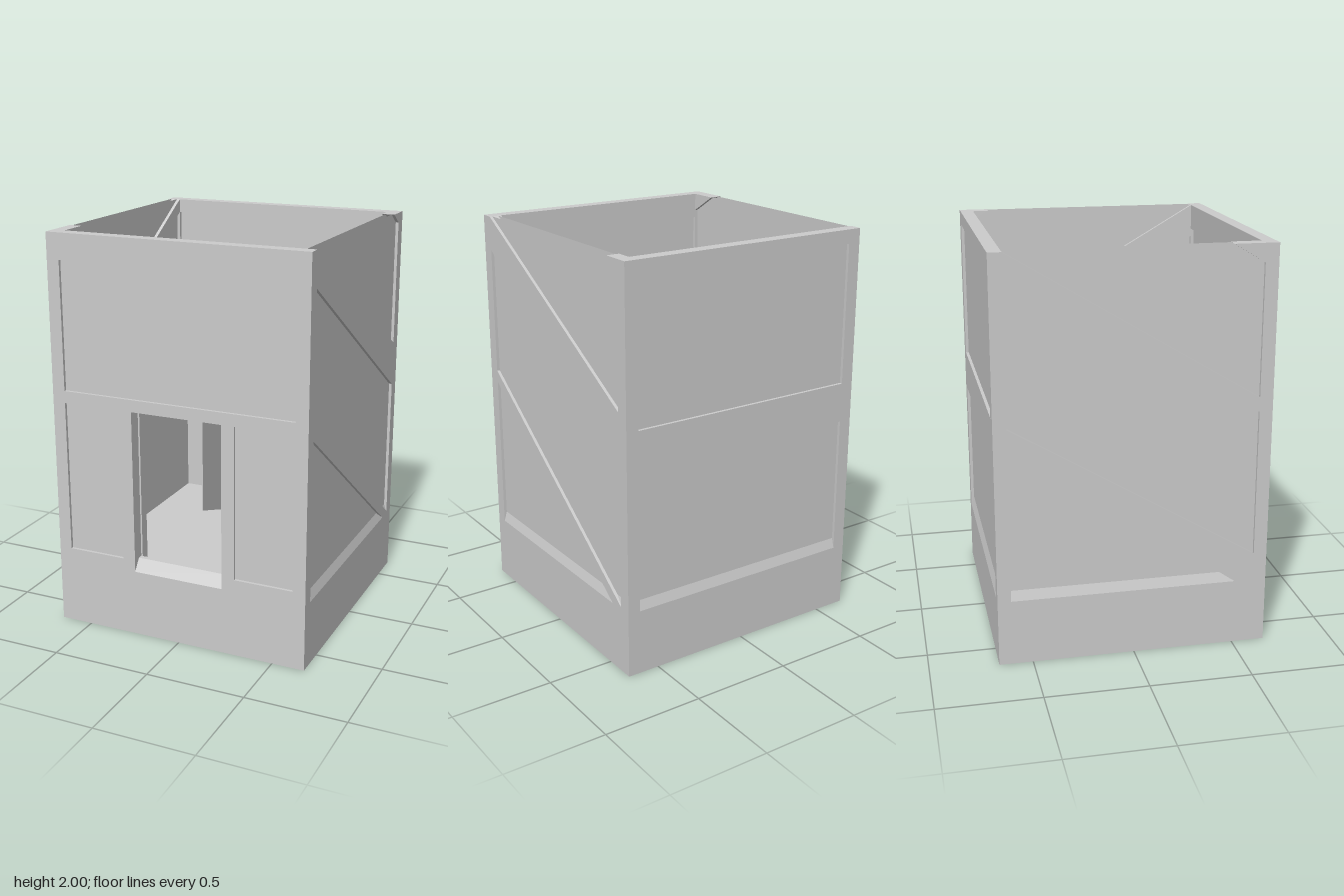
import * as THREE from 'three';

// Distances of the skins from the centre, and the main levels
const OUT = 0.665, IN = 0.6, PANEL_OUT = 0.65, PANEL_IN = 0.617;
const LINER_OUT = 0.585, LINER_IN = 0.535;
const BASE = 0.3, FLOOR = 0.34, CEILING = 1.49;

const grey = new THREE.MeshStandardMaterial({ color: 0xcccccc, side: THREE.DoubleSide });
grey.name = 'plain grey';

function add(parent, name, geometry) {
  const mesh = new THREE.Mesh(geometry, grey);
  mesh.name = name;
  parent.add(mesh);
  return mesh;
}

const points = list => list.map(([x, y]) => new THREE.Vector2(x, y));
const rect = (x0, x1, y0, y1) => [[x0, y0], [x1, y0], [x1, y1], [x0, y1]];

// Solid wall piece between two distances from the centre
function slab(parent, name, outline, holes = [], near = IN, far = OUT) {
  const shape = new THREE.Shape(points(outline));
  for (const h of holes) shape.holes.push(new THREE.Path(points(h)));
  const g = new THREE.ExtrudeGeometry(shape, { depth: far - near, bevelEnabled: false });
  return add(parent, name, g.translate(0, 0, near));
}

function sheet(parent, name, outline, z) {
  const g = new THREE.ShapeGeometry(new THREE.Shape(points(outline)));
  return add(parent, name, g.translate(0, 0, z));
}

// Panel with an outer and an inner skin, both set back in the frame
function panel(parent, outline) {
  sheet(parent, 'recessedPanel', outline, PANEL_OUT);
  sheet(parent, 'innerPanel', outline, PANEL_IN);
}

// Sill that slopes down to the outside face
function sill(parent, halfWidth, low, high, crest) {
  const profile = new THREE.Shape(points([[-OUT, low], [-IN, low], [-IN, high], [-crest, high]]));
  const g = new THREE.ExtrudeGeometry(profile, { depth: 2 * halfWidth, bevelEnabled: false });
  g.translate(0, 0, -halfWidth).rotateY(Math.PI / 2);
  return add(parent, 'slopingSill', g);
}

// Wall group with its hollow plinth and the smooth lining of the lower room
function wall(parent, name, angle, liningHoles = []) {
  const group = new THREE.Group();
  group.name = name;
  group.rotation.y = angle;
  parent.add(group);
  sheet(group, 'plinth', rect(-OUT, OUT, 0, BASE), OUT);
  slab(group, 'roomLining', rect(-LINER_OUT, LINER_OUT, BASE, CEILING), liningHoles, LINER_IN, LINER_OUT);
  return group;
}

// Side wall: two diagonal bands and a corner brace over one panel
function sideWall(parent, name, angle, lowerBand, upperBand, brace) {
  const w = wall(parent, name, angle);
  slab(w, 'bottomRail', rect(-IN, IN, BASE, 0.33));
  sill(w, IN, 0.33, 0.38, PANEL_OUT);
  slab(w, 'lowerDiagonalBand', lowerBand);
  slab(w, 'upperDiagonalBand', upperBand);
  slab(w, 'cornerBrace', brace);
  panel(w, rect(-IN, IN, 0.33, 2));
}

export function createModel() {
  const model = new THREE.Group();
  model.name = 'stairTower';

  // Front wall with doorway
  const door = rect(-0.235, 0.235, FLOOR, 1.17);
  const front = wall(model, 'frontWall', 0, [door]);
  const frontPanels = [
    rect(-IN, IN, 1.23, 1.87),
    rect(-IN, -0.3, 0.4, 1.17),
    rect(0.3, IN, 0.4, 1.17),
  ];
  slab(front, 'frontFrame', rect(-OUT, OUT, BASE, 2), [...frontPanels, door]);
  for (const p of frontPanels) panel(front, p);
  sill(front, 0.235, FLOOR, 0.4, 0.625);

  // Back wall with two wide panels
  const back = wall(model, 'backWall', Math.PI);
  const backPanels = [rect(-IN, IN, 1.23, 1.93), rect(-IN, IN, 0.33, 1.03)];
  slab(back, 'backFrame', rect(-OUT, OUT, BASE, 2), backPanels);
  for (const p of backPanels) panel(back, p);
  sill(back, IN, 0.33, 0.38, PANEL_OUT);

  // Side walls, their bands falling in opposite directions
  sideWall(model, 'leftWall', Math.PI / 2,
    [[-IN, 1.13], [0.526, 0.33], [IN, 0.33], [IN, 0.342], [-IN, 1.19]],
    [[-IN, 1.83], [IN, 1.08], [IN, 1.31], [-IN, 2]],
    [[0.52, 2], [IN, 1.95], [IN, 2]]);
  sideWall(model, 'rightWall', -Math.PI / 2,
    [[-IN, 1.11], [0.507, 0.33], [IN, 0.33], [IN, 0.47], [-IN, 1.19]],
    [[-IN, 1.93], [IN, 1.2], [IN, 1.27], [-IN, 2]],
    [[0.45, 2], [IN, 1.91], [IN, 2]]);

  // Ground floor block and upper floor
  add(model, 'groundFloor', new THREE.BoxGeometry(2 * IN, FLOOR, 2 * IN)).position.y = FLOOR / 2;
  add(model, 'upperFloor', new THREE.BoxGeometry(2 * LINER_OUT, 0.03, 2 * LINER_OUT)).position.y = CEILING + 0.015;

  // Thin divider between the flights
  const divider = new THREE.Shape(points([[-0.38, 0.6], [0.38, FLOOR], [0.38, CEILING], [-0.38, CEILING]]));
  const dividerSolid = new THREE.ExtrudeGeometry(divider, { depth: 0.006, bevelEnabled: false });
  add(model, 'centreDivider', dividerSolid.translate(0, 0, -0.003).rotateY(Math.PI / 2));

  return model;
}
